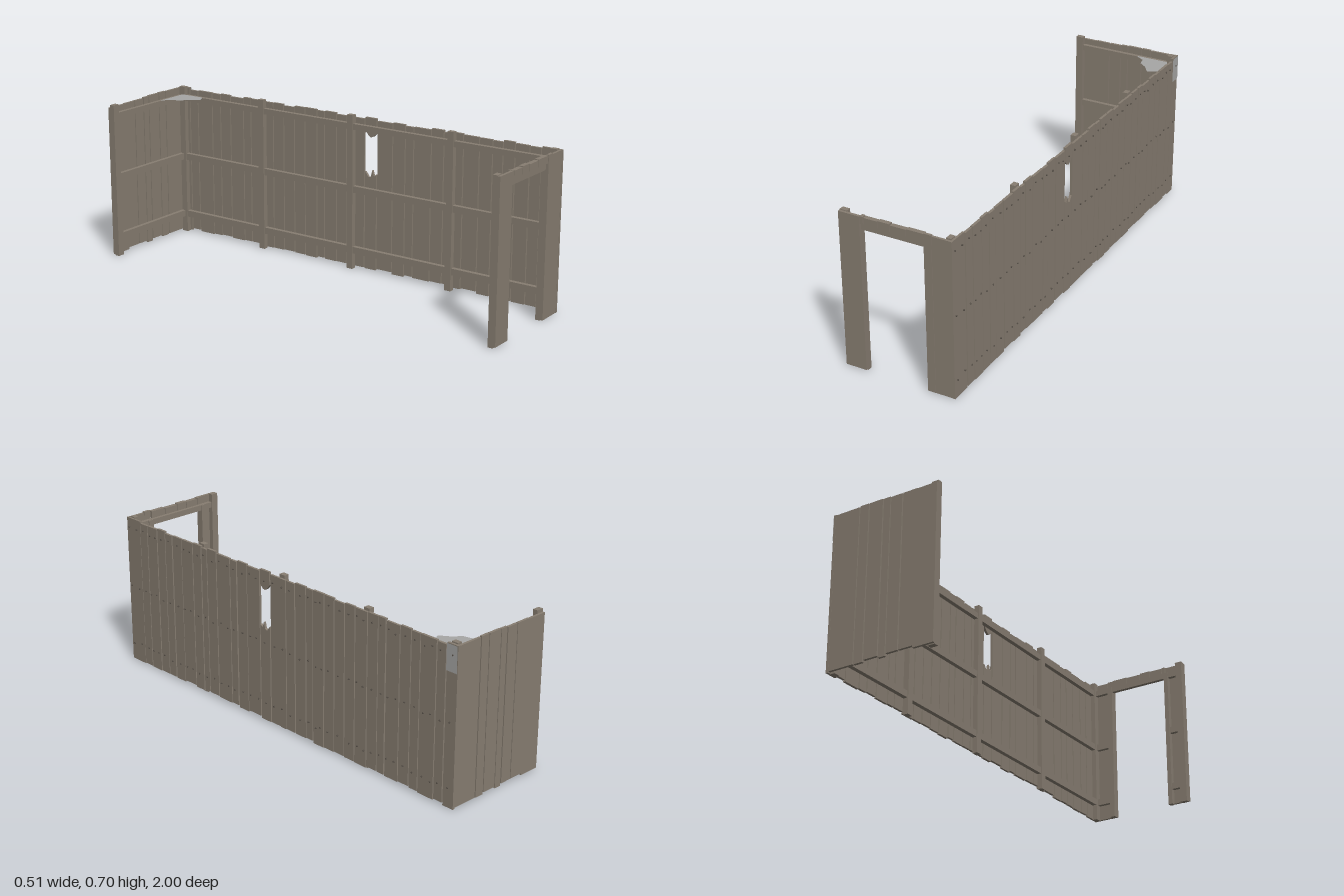
import * as THREE from 'three';

export function createModel() {
  const root = new THREE.Group();
  root.name = 'brokenFence';
  const wood = new THREE.MeshStandardMaterial({ color: 0x877d71 });
  wood.name = 'weathered wood';
  const iron = new THREE.MeshStandardMaterial({ color: 0x5c554d });
  iron.name = 'dark nail';
  const silk = new THREE.MeshStandardMaterial({ color: 0xa6a6a5, side: THREE.DoubleSide });
  silk.name = 'pale cobweb';

  // Small seeded generator for uneven board ends
  let seed = 7;
  const rnd = () => (seed = (seed * 16807) % 2147483647) / 2147483647;

  const group = (name) => {
    const g = new THREE.Group();
    g.name = name;
    root.add(g);
    return g;
  };
  // Box given by its minimum and maximum corners
  const block = (parent, name, x0, x1, y0, y1, z0, z1) => {
    const m = new THREE.Mesh(new THREE.BoxGeometry(x1 - x0, y1 - y0, z1 - z0), wood);
    m.position.set((x0 + x1) / 2, (y0 + y1) / 2, (z0 + z1) / 2);
    m.name = name;
    parent.add(m);
    return m;
  };
  const railHeights = [[0.072, 0.102], [0.351, 0.381], [0.635, 0.661]];
  const GAP = 0.0025;

  // Long side wall: boards between successive edges, one of them snapped
  const side = group('sideWall');
  const edges = [1, 0.906, 0.853, 0.785, 0.729, 0.68, 0.617, 0.54, 0.483, 0.445, 0.383, 0.295, 0.252,
    0.188, 0.107, 0.043, -0.053, -0.107, -0.172, -0.214, -0.279, -0.338, -0.397, -0.456, -0.525,
    -0.584, -0.627, -0.702, -0.761, -0.81, -0.895, -0.943, -1];
  const broken = 14;
  const nailGeo = new THREE.CylinderGeometry(0.0035, 0.0035, 0.006, 6).rotateZ(Math.PI / 2);
  const last = edges.length - 2;
  for (let i = 0; i <= last; i++) {
    const z1 = edges[i] - (i ? GAP : 0);
    const z0 = edges[i + 1] + (i < last ? GAP : 0);
    const end = i === 0 || i === last;
    const y0 = end ? 0.003 : 0.005 + rnd() * 0.012;
    const y1 = end ? 0.695 : 0.684 + rnd() * 0.011;
    const outer = 0.2475 + rnd() * 0.0025;
    if (i !== broken) block(side, 'sideBoard', 0.238, outer, y0, y1, z0, z1);
    for (const y of [0.088, 0.367, 0.65]) {
      const count = z1 - z0 > 0.06 ? 2 : 1;
      for (let k = 0; k < count; k++) {
        const nail = new THREE.Mesh(nailGeo, iron);
        const t = count === 1 ? 0.5 : 0.22 + 0.56 * k;
        nail.position.set(0.2505, y + (rnd() - 0.5) * 0.016, z0 + (z1 - z0) * t + (rnd() - 0.5) * 0.01);
        nail.name = 'nail';
        side.add(nail);
      }
    }
  }
  // Splintered halves of the snapped board; outline uses z across and y up
  const splinter = (name, points) => {
    const shape = new THREE.Shape(points.map(([z, y]) => new THREE.Vector2(-z, y)));
    const geo = new THREE.ExtrudeGeometry(shape, { depth: 0.011, bevelEnabled: false });
    const m = new THREE.Mesh(geo.rotateY(Math.PI / 2), wood);
    m.position.x = 0.238;
    m.name = name;
    side.add(m);
  };
  splinter('brokenBoardTop', [[0.104, 0.695], [0.104, 0.628], [0.088, 0.613], [0.075, 0.608],
    [0.06, 0.618], [0.046, 0.637], [0.046, 0.695]]);
  splinter('brokenBoardBottom', [[0.104, 0.008], [0.046, 0.008], [0.046, 0.452], [0.064, 0.428],
    [0.076, 0.434], [0.083, 0.462], [0.092, 0.436], [0.104, 0.446]]);

  // Posts and rails on the inside of the long wall
  for (const z of [-0.51, -0.02, 0.49]) block(side, 'sidePost', 0.214, 0.2375, 0, 0.7, z - 0.015, z + 0.015);
  for (const [a, b] of railHeights) block(side, 'sideRail', 0.218, 0.238, a, b, -0.97, 0.97);
  for (const s of [-1, 1]) {
    const z = s * 0.972;
    block(side, 'cornerPost', 0.216, 0.2375, 0, 0.7, z - 0.015, z + 0.015);
  }

  // Closed end wall at the back
  const back = group('backWall');
  const backEdges = [-0.255, -0.16, -0.0925, -0.034, 0.0025, 0.0715, 0.1185, 0.238];
  const backBottoms = [0.004, 0.013, 0.013, 0.004, 0.013, 0.006, 0.008];
  backBottoms.forEach((y0, i) => {
    const x0 = backEdges[i] + (i > 1 ? GAP : 0);
    const x1 = backEdges[i + 1] - (i > 0 && i < 6 ? GAP : 0);
    block(back, 'backBoard', x0, x1, y0, 0.686 + rnd() * 0.01, -1 + rnd() * 0.002, -0.988);
  });
  block(back, 'backPost', -0.255, -0.222, 0, 0.7, -0.988, -0.966);
  for (const [a, b] of railHeights) block(back, 'backRail', -0.222, 0.218, a, b, -0.988, -0.97);

  // End wall with the doorway at the front
  const front = group('doorWall');
  block(front, 'leftDoorBoard', -0.255, -0.16, 0.006, 0.696, 0.988, 1);
  block(front, 'outerDoorPost', -0.255, -0.222, 0, 0.699, 0.966, 0.988);
  block(front, 'innerDoorPost', -0.18, -0.16, 0, 0.66, 0.966, 0.988);
  block(front, 'rightDoorBoard', 0.125, 0.16 - 0.001, 0.003, 0.699, 0.988, 1);
  block(front, 'cornerDoorBoard', 0.16, 0.238, 0.003, 0.695, 0.988, 0.999);
  block(front, 'rightDoorPost', 0.125, 0.15, 0, 0.66, 0.966, 0.988);
  for (const [a, b] of railHeights) {
    block(front, 'leftDoorRail', -0.222, -0.18, a, b, 0.97, 0.988);
    block(front, 'rightDoorRail', 0.15, 0.218, a, b, 0.97, 0.988);
  }
  block(front, 'lintel', -0.18, 0.15, 0.635, 0.661, 0.97, 0.988);
  const headEdges = [-0.16, -0.143, -0.079, -0.025, 0.0475, 0.125];
  const headTops = [0.697, 0.694, 0.697, 0.693, 0.696];
  headTops.forEach((top, i) => {
    block(front, 'headerBoard', headEdges[i] + 0.0015, headEdges[i + 1] - 0.0015, 0.664, top, 0.978, 0.998);
  });

  // Cobweb sheet in the back corner, with a strip wrapped round the outside
  const webShape = new THREE.Shape([[0.055, -0.97], [0.1, -0.94], [0.11, -0.9], [0.145, -0.872],
    [0.175, -0.828], [0.218, -0.852], [0.218, -0.97]].map(([x, z]) => new THREE.Vector2(x, -z)));
  const web = new THREE.Mesh(new THREE.ShapeGeometry(webShape).rotateX(-Math.PI / 2), silk);
  web.position.y = 0.6635;
  web.name = 'cobweb';
  root.add(web);
  const strip = new THREE.Mesh(new THREE.PlaneGeometry(0.054, 0.112).rotateY(Math.PI / 2), silk);
  strip.position.set(0.2515, 0.637, -0.972);
  strip.name = 'cobwebStrip';
  root.add(strip);

  return root;
}
